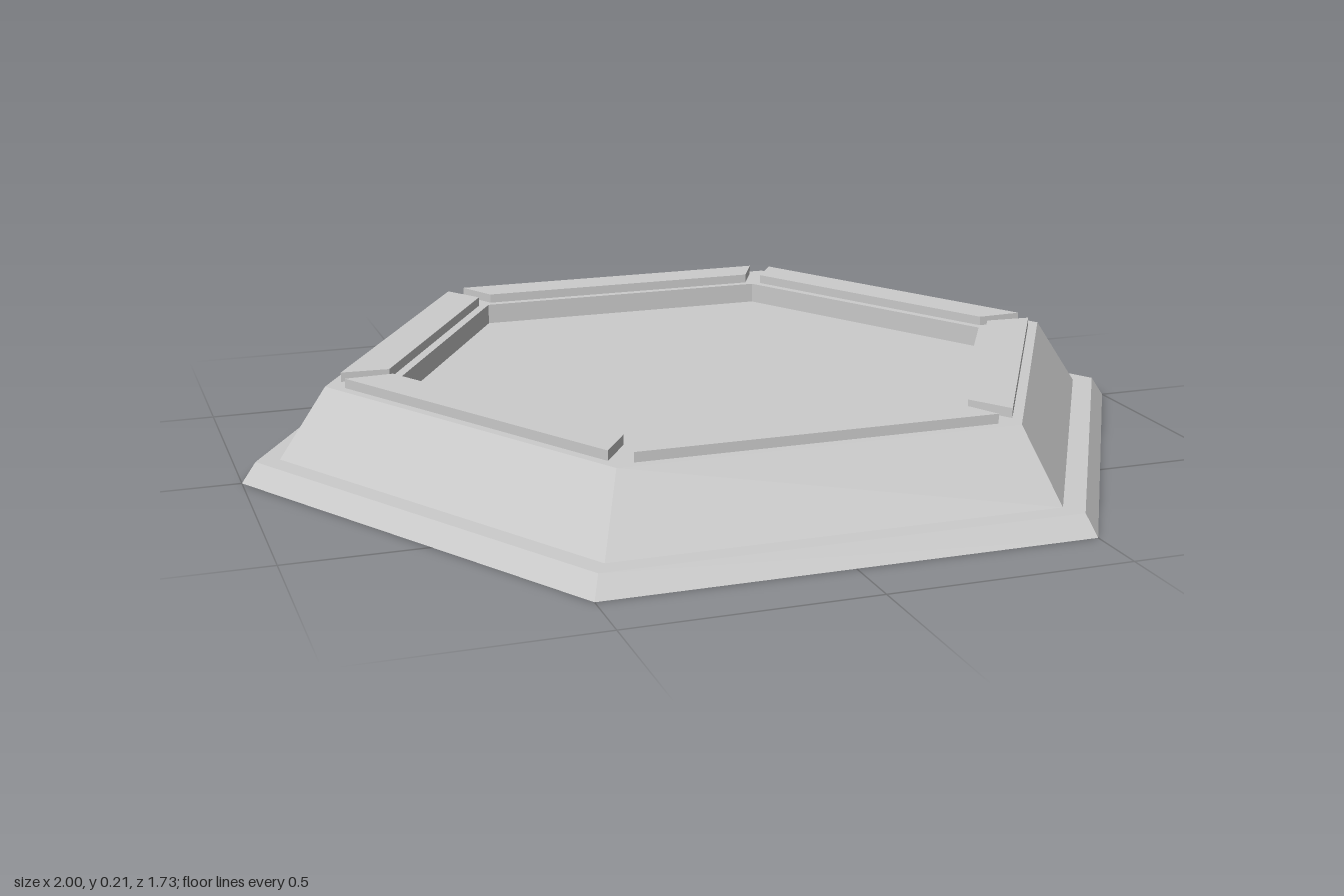
import * as THREE from 'three';

const RIM_Y = 0.19, BAR_Y = 0.21, FLOOR_Y = 0.145;
const material = new THREE.MeshStandardMaterial({
  color: 0xcccccc, flatShading: true, side: THREE.DoubleSide,
});

// Corners of one raised bar, as [x, z], counter-clockwise from above
const BAR = [[-0.37, 0.69], [0.37, 0.69], [0.325, 0.6], [-0.325, 0.6]];

function mesh(name, geometry) {
  const m = new THREE.Mesh(geometry, material);
  m.name = name;
  return m;
}

// Six-sided surface turned from [radius, height] points, corners on +x and -x
function hexLathe(points) {
  return new THREE.LatheGeometry(points.map(([r, y]) => new THREE.Vector2(r, y)), 6, Math.PI / 2);
}

function hexPoints(radius) {
  return Array.from({ length: 6 }, (_, i) => {
    const a = i * Math.PI / 3;
    return new THREE.Vector2(radius * Math.cos(a), radius * Math.sin(a));
  });
}

// Flat rim, open in the middle and beneath each hollow bar
function rimGeometry() {
  const shape = new THREE.Shape(hexPoints(0.82));
  shape.holes.push(new THREE.Path(hexPoints(0.67)));
  for (let i = 0; i < 6; i++) {
    const pts = BAR.map(([x, z]) =>
      new THREE.Vector2(x, -z).rotateAround(new THREE.Vector2(), i * Math.PI / 3));
    shape.holes.push(new THREE.Path(pts));
  }
  return new THREE.ShapeGeometry(shape).rotateX(-Math.PI / 2).translate(0, RIM_Y, 0);
}

// Hollow bar: four sides and a top
function barGeometry() {
  const positions = [RIM_Y, BAR_Y].flatMap((y) => BAR.flatMap(([x, z]) => [x, y, z]));
  const index = [4, 5, 6, 4, 6, 7];
  for (let i = 0; i < 4; i++) {
    const j = (i + 1) % 4;
    index.push(i, j, j + 4, i, j + 4, i + 4);
  }
  const g = new THREE.BufferGeometry();
  g.setAttribute('position', new THREE.Float32BufferAttribute(positions, 3));
  g.setIndex(index);
  g.computeVertexNormals();
  return g;
}

export function createModel() {
  const model = new THREE.Group();
  model.name = 'hexagonalPlatform';

  // Stepped, sloping outer shell, open underneath
  model.add(mesh('outerShell', hexLathe([[1, 0], [0.97, 0.043], [0.92, 0.043], [0.82, RIM_Y]])));
  model.add(mesh('rim', rimGeometry()));

  // Sunken centre
  model.add(mesh('recessedFloor', hexLathe([[0.67, RIM_Y], [0.67, FLOOR_Y], [0, FLOOR_Y]].reverse()).scale(1, 1, 1)));
  const floor = model.getObjectByName('recessedFloor');
  floor.geometry.index.array.reverse();

  // One raised bar along each side
  const bar = barGeometry();
  for (let i = 0; i < 6; i++) {
    const b = mesh('raisedBar', bar);
    b.rotation.y = i * Math.PI / 3;
    model.add(b);
  }
  return model;
}
